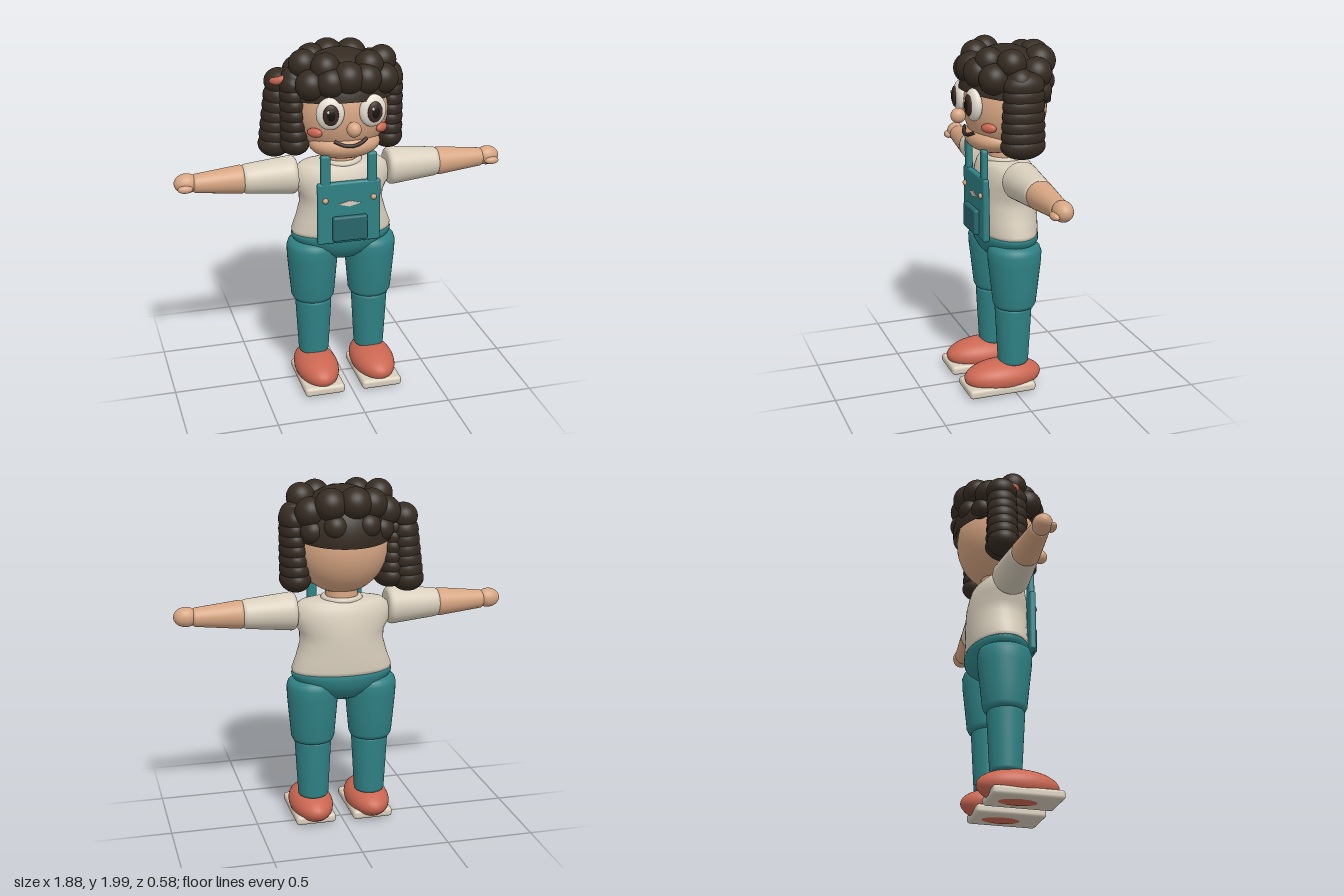
import * as THREE from 'three';
import { mergeVertices } from 'three/addons/utils/BufferGeometryUtils.js';
import { RoundedBoxGeometry } from 'three/addons/geometries/RoundedBoxGeometry.js';

const paint = (name, color, side = THREE.FrontSide) => {
  const m = new THREE.MeshStandardMaterial({ color, side });
  m.name = name;
  return m;
};

// Smooth upright body from rows of [y, half width, half depth], bottom to top
function loft(rows) {
  const g = new THREE.LatheGeometry(rows.map(([y, rx]) => new THREE.Vector2(rx, y)), 40);
  const p = g.attributes.position;
  for (let i = 0; i < p.count; i++) {
    const [, rx, rz] = rows[i % rows.length];
    if (rx > 0) p.setZ(i, p.getZ(i) * rz / rx);
  }
  g.deleteAttribute('normal');
  g.deleteAttribute('uv');
  const m = mergeVertices(g, 1e-5);
  m.computeVertexNormals();
  return m;
}

// Tapered limb with rounded rims
function limb(r0, r1, y0, y1, bevel = 0.025) {
  const rows = [[y0, 0, 0]];
  const corner = (r, y, sign, a) => {
    const x = r - bevel + bevel * Math.cos(a);
    rows.push([y + sign * bevel * (1 - Math.sin(a)), x, x]);
  };
  for (let i = 4; i >= 0; i--) corner(r0, y0, 1, i * Math.PI / 8);
  for (let i = 0; i <= 4; i++) corner(r1, y1, -1, i * Math.PI / 8);
  rows.push([y1, 0, 0]);
  return loft(rows);
}

export function createModel() {
  const model = new THREE.Group();
  const skin = paint('skin', 0xd6a582);
  const hair = paint('hair', 0x352b22, THREE.DoubleSide);
  const cream = paint('cream cloth', 0xd8cebc);
  const teal = paint('teal denim', 0x2f8285);
  const darkTeal = paint('dark teal', 0x27666c);
  const coral = paint('coral', 0xcb6752);
  const white = paint('eye white', 0xe6dfd2);
  const iris = paint('iris', 0x3b2a22);
  const black = paint('pupil', 0x17120f);

  const add = (name, geometry, material, pos = [0, 0, 0], rot = [0, 0, 0], parent = model) => {
    const mesh = new THREE.Mesh(geometry, material);
    mesh.name = name;
    mesh.position.set(...pos);
    mesh.rotation.set(...rot);
    parent.add(mesh);
    return mesh;
  };
  const ball = (name, material, pos, size, rot, parent) =>
    add(name, new THREE.SphereGeometry(1, 32, 20).scale(...size), material, pos, rot, parent);
  const block = (name, material, pos, [w, h, d], r) =>
    add(name, new RoundedBoxGeometry(w, h, d, 3, r), material, pos);

  // Head, muzzle and neck
  ball('head', skin, [0, 1.645, -0.02], [0.265, 0.27, 0.23]);
  ball('muzzle', skin, [0, 1.47, 0.055], [0.2, 0.085, 0.148]);
  add('neck', new THREE.CylinderGeometry(0.088, 0.095, 0.14, 32), skin, [0, 1.37, -0.02]);
  ball('nose', skin, [0, 1.6, 0.25], [0.04, 0.042, 0.042]);
  const smile = new THREE.CatmullRomCurve3([
    [-0.09, 1.518, 0.183], [-0.05, 1.5, 0.202], [0, 1.493, 0.212], [0.05, 1.502, 0.202], [0.09, 1.522, 0.183],
  ].map((p) => new THREE.Vector3(...p)));
  add('mouth', new THREE.TubeGeometry(smile, 24, 0.01, 8), iris);

  // Top hair: cap tilted down at the back, ringed with curls
  add('hairCap', new THREE.SphereGeometry(1, 40, 20, 0, Math.PI * 2, 0, Math.PI / 2).scale(0.276, 0.275, 0.255),
    hair, [0, 1.705, -0.02], [-0.15, 0, 0]);
  const curls = [
    [-0.03, 1.9, -0.2, 0.09], [0.1, 1.895, -0.185, 0.09], [0.2, 1.85, -0.13, 0.085], [-0.13, 1.89, -0.17, 0.085],
    [-0.22, 1.84, -0.12, 0.085], [0.27, 1.82, -0.01, 0.075], [-0.26, 1.82, -0.01, 0.08],
    [-0.22, 1.915, 0.02, 0.08], [0.22, 1.91, 0.02, 0.08], [-0.2, 1.82, 0.11, 0.085], [-0.1, 1.84, 0.155, 0.085],
    [-0.01, 1.86, 0.165, 0.09], [0.09, 1.85, 0.16, 0.085], [0.2, 1.83, 0.11, 0.085],
    [-0.12, 1.91, 0.11, 0.08], [0.12, 1.91, 0.11, 0.08],
    [0.08, 1.78, -0.21, 0.07], [-0.1, 1.78, -0.205, 0.07], [0.19, 1.75, -0.15, 0.07], [-0.19, 1.75, -0.15, 0.07],
  ];
  for (const [x, y, z, r] of curls) ball('curl', hair, [x, y, z], [r, r, r]);

  // Hanging locks of stacked curls on both sides, and a tied tail on the right
  for (let i = 0; i < 7; i++) {
    const y = 1.8 - i * 0.055;
    for (const s of [-1, 1])
      ball('sideLock', hair, [s * (0.278 - 0.002 * i), y, -0.03], [0.075 + 0.002 * i, 0.075, 0.115 + 0.002 * i]);
    ball('tailLock', hair, [-0.335 - 0.005 * i, y - 0.02 + (i === 0 ? 0.02 : 0), -0.08], [0.08 + 0.002 * i, 0.075, 0.088]);
  }
  add('hairTie', new THREE.TorusGeometry(0.055, 0.022, 12, 28), coral, [-0.325, 1.835, -0.05], [Math.PI / 2, 0.35, 0]);

  // Torso and hips
  add('shirt', loft([
    [0.92, 0, 0], [0.92, 0.285, 0.165], [0.95, 0.288, 0.17], [1.02, 0.262, 0.172], [1.1, 0.24, 0.172],
    [1.16, 0.242, 0.17], [1.22, 0.275, 0.163], [1.27, 0.28, 0.152], [1.31, 0.265, 0.14], [1.335, 0.235, 0.122],
    [1.345, 0.18, 0.1], [1.35, 0, 0],
  ]), cream, [0, 0, -0.02]);
  add('collar', new THREE.TorusGeometry(0.1, 0.018, 12, 36), cream, [0, 1.345, -0.02], [Math.PI / 2, 0, 0]);
  add('hips', loft([
    [0.75, 0, 0], [0.756, 0.06, 0.05], [0.78, 0.125, 0.1], [0.82, 0.2, 0.142], [0.86, 0.255, 0.164],
    [0.9, 0.287, 0.174], [0.92, 0.291, 0.173], [0.93, 0.287, 0.17], [0.93, 0, 0],
  ]), teal, [0, 0, -0.02]);

  // Overall bib with pocket and a stitched diamond
  block('bib', teal, [0, 1.09, 0.148], [0.36, 0.36, 0.036], 0.012);
  block('pocket', darkTeal, [0, 1.003, 0.178], [0.2, 0.145, 0.034], 0.012);
  const diamond = new THREE.Shape([[-0.065, 0], [0, -0.017], [0.065, 0], [0, 0.017]].map((p) => new THREE.Vector2(...p)));
  add('bibPatch', new THREE.ExtrudeGeometry(diamond, { depth: 0.006, bevelEnabled: false }), cream, [0, 1.145, 0.165]);

  for (const s of [-1, 1]) {
    // Eyes and cheeks
    const eye = new THREE.Group();
    eye.name = s > 0 ? 'leftEye' : 'rightEye';
    eye.position.set(s * 0.118, 1.682, 0.2);
    eye.rotation.y = s * 0.12;
    model.add(eye);
    ball('eyeWhite', white, [0, 0, 0], [0.077, 0.09, 0.038], undefined, eye);
    ball('iris', iris, [0, 0, 0.031], [0.043, 0.058, 0.016], undefined, eye);
    ball('pupil', black, [0, 0, 0.041], [0.024, 0.034, 0.009], undefined, eye);
    ball('eyeGlint', white, [-0.016, 0.022, 0.047], [0.007, 0.009, 0.004], undefined, eye);
    ball('cheek', coral, [s * 0.188, 1.562, 0.138], [0.045, 0.026, 0.022], [0, s * 0.75, 0]);

    // Straps and buttons
    block('strap', teal, [s * 0.133, 1.33, 0.147], [0.054, 0.2, 0.036], 0.012);
    ball('button', skin, [s * 0.138, 1.172, 0.17], [0.016, 0.016, 0.012]);

    // Arms, lying along x
    const turn = [0, 0, -s * Math.PI / 2];
    add('sleeve', limb(0.108, 0.083, 0.26, 0.57, 0.03), cream, [0, 1.28, -0.012], turn);
    add('forearm', limb(0.08, 0.053, 0.555, 0.84, 0.02), skin, [0, 1.28, -0.012], turn);
    ball('hand', skin, [s * 0.873, 1.285, -0.012], [0.068, 0.055, 0.053]);
    ball('thumb', skin, [s * 0.885, 1.268, 0.036], [0.042, 0.022, 0.024]);

    // Legs and shoes
    add('thigh', loft([
      [0.51, 0, 0], [0.51, 0.095, 0.095], [0.517, 0.113, 0.112], [0.54, 0.124, 0.123], [0.65, 0.134, 0.135],
      [0.78, 0.145, 0.15], [0.84, 0.147, 0.153], [0.87, 0.138, 0.143], [0.885, 0.115, 0.12], [0.89, 0, 0],
    ]), teal, [s * 0.17, 0, -0.018]);
    add('shin', limb(0.088, 0.105, 0.165, 0.52, 0.02), teal, [s * 0.168, 0, -0.012]);
    ball('shoe', coral, [s * 0.17, 0.095, 0.053], [0.125, 0.093, 0.228]);
    block('sole', cream, [s * 0.17, 0.04, 0.085], [0.235, 0.054, 0.395], 0.02);
  }

  // Rest on the ground
  const box = new THREE.Box3().setFromObject(model, true);
  for (const part of model.children) part.position.y -= box.min.y;
  return model;
}
